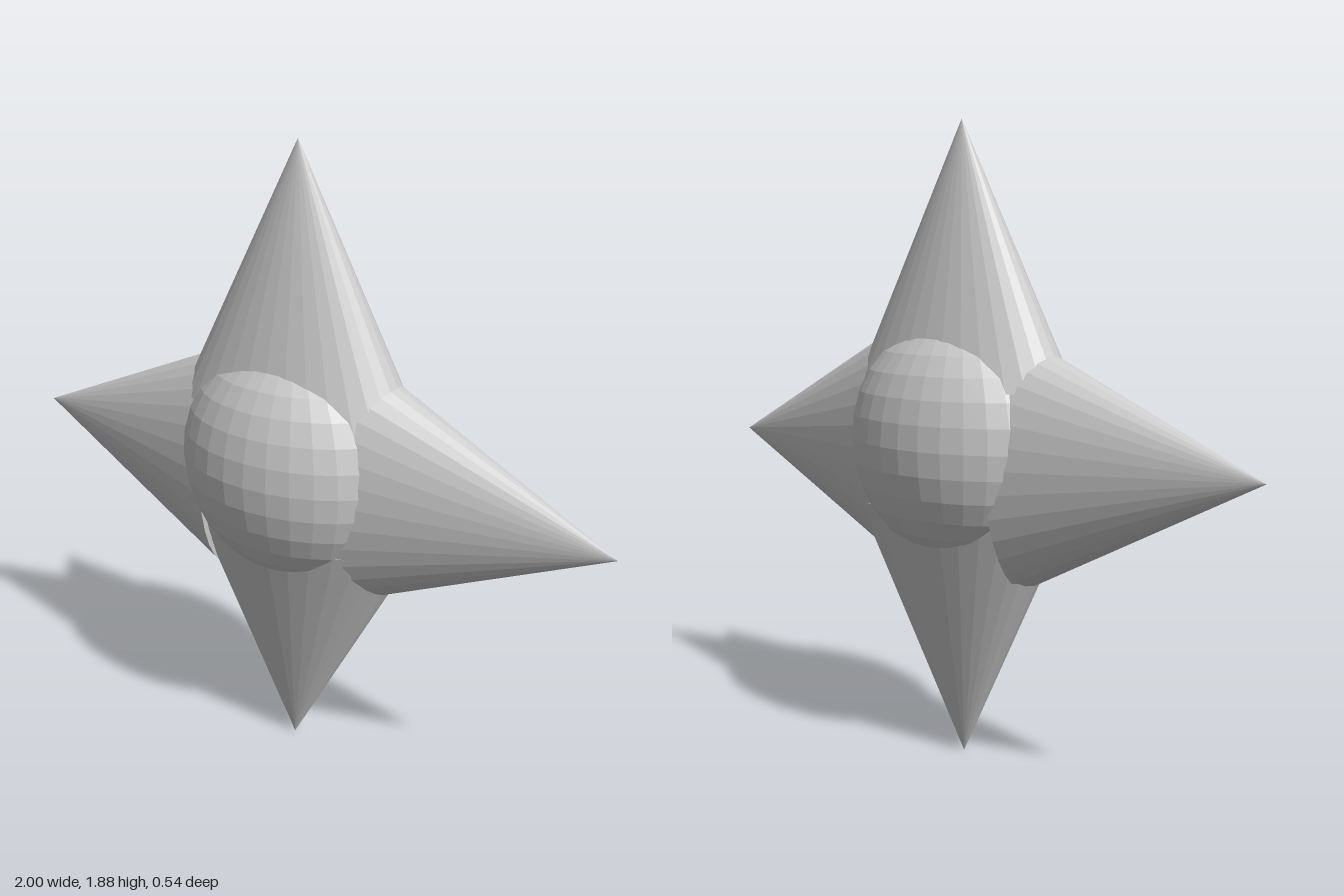
import * as THREE from 'three';

const material = new THREE.MeshStandardMaterial({ color: 0xcccccc, flatShading: true });
const DEPTH = 0.475; // spikes are flattened front to back

// Flattened cone with its tip at (x, y), pointing up and then turned about z
function spike(name, x, y, degrees, radius, length) {
  const geometry = new THREE.ConeGeometry(radius, length, 32);
  geometry.translate(0, -length / 2, 0);
  geometry.scale(1, 1, DEPTH);
  const mesh = new THREE.Mesh(geometry, material);
  mesh.name = name;
  mesh.position.set(x, y, 0);
  mesh.rotation.z = THREE.MathUtils.degToRad(degrees);
  return mesh;
}

export function createModel() {
  const group = new THREE.Group();
  group.name = 'fourPointStar';

  // Four spikes, each leaning slightly differently
  group.add(
    spike('topSpike', 0, 1.88, 0, 0.393, 0.76),
    spike('bottomSpike', -0.01, 0, 178.5, 0.393, 0.76),
    spike('leftSpike', 0.995, 0.905, -91.4, 0.363, 0.765),
    spike('rightSpike', -1, 0.94, 87.6, 0.363, 0.765)
  );

  // Rounded centre bulging out at front and back
  const coreGeometry = new THREE.SphereGeometry(1, 32, 16);
  coreGeometry.scale(0.375, 0.37, 0.27);
  const core = new THREE.Mesh(coreGeometry, material);
  core.name = 'core';
  core.position.y = 0.955;
  group.add(core);

  return group;
}
